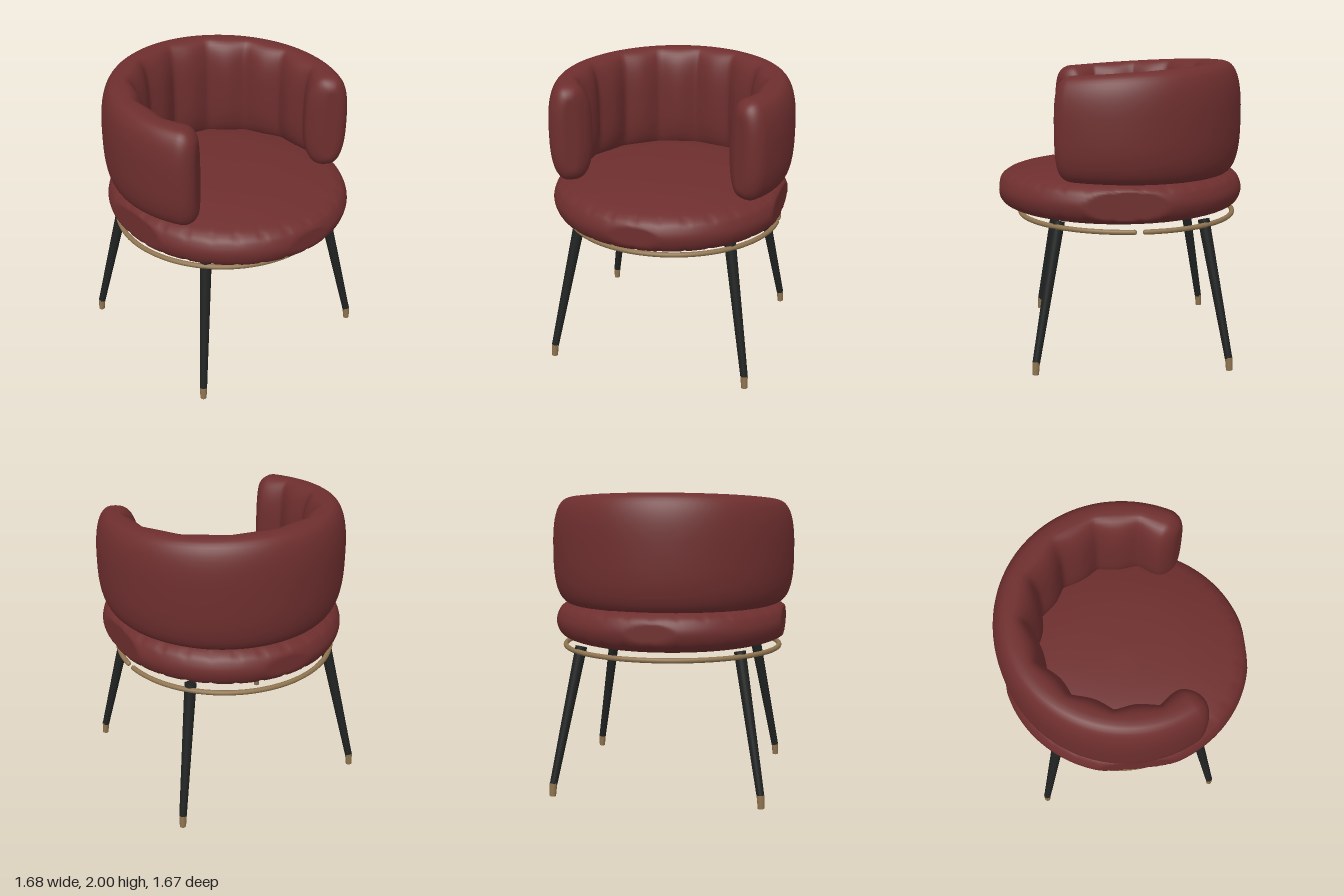
import * as THREE from 'three';
import { mergeVertices } from 'three/addons/utils/BufferGeometryUtils.js';

const mat = (name, color) => {
  const m = new THREE.MeshStandardMaterial({ color });
  m.name = name;
  return m;
};
const rad = THREE.MathUtils.degToRad;

// Seat: lathed cushion, slightly longer than wide, flattened sides, pleats on both rims
function seatGeometry() {
  const profile = new THREE.SplineCurve([
    [0, 0.935], [0.3, 0.945], [0.6, 0.98], [0.74, 1.005], [0.82, 1.045], [0.853, 1.12],
    [0.84, 1.185], [0.8, 1.235], [0.7, 1.272], [0.4, 1.322], [0, 1.34],
  ].map(([r, y]) => new THREE.Vector2(r, y)));
  const pts = profile.getPoints(50);
  pts.forEach((p) => { p.x = Math.max(p.x, 0); });
  const rows = pts.length;
  let geo = new THREE.LatheGeometry(pts, 180);
  const pos = geo.attributes.position;
  for (let i = 0; i < pos.count; i++) {
    const y = pos.getY(i);
    let x = pos.getX(i) * 0.96, z = pos.getZ(i);
    const column = Math.floor(i / rows);
    if (column % 6 === 0 && Math.hypot(x, z) > 0.6) {
      const w = Math.exp(-(((y - 1.24) / 0.025) ** 2)) + Math.exp(-(((y - 1.03) / 0.025) ** 2));
      x *= 1 - 0.016 * w;
      z *= 1 - 0.016 * w;
    }
    pos.setXYZ(i, THREE.MathUtils.clamp(x, -0.775, 0.775), y, THREE.MathUtils.clamp(z, -0.835, 0.835));
  }
  geo.deleteAttribute('normal');
  geo.deleteAttribute('uv');
  geo = mergeVertices(geo, 1e-4);
  geo.computeVertexNormals();
  return geo;
}

// Backrest: rounded section swept around an open circle, with padded ribs inside
function backrestGeometry() {
  const NA = 180, NS = 48, END = 126, ROUND = 0.1, ROUND_DEG = 8.2, MID = 0.7;
  const verts = [], index = [];
  const ring = (deg, closed) => {
    const a = rad(deg);
    const u = Math.min(1, Math.max(0, (Math.abs(deg) - END + ROUND_DEG) / ROUND_DEG));
    const inset = ROUND * (1 - Math.sqrt(1 - u * u));
    const zMid = -MID * Math.cos(a);
    const top = 1.956 - 0.064 * zMid, bottom = 1.257 + 0.02 * zMid;
    const inner = 0.108 + 0.046 * Math.abs(Math.sin((Math.PI * deg) / 26));
    for (let j = 0; j < NS; j++) {
      const t = (j / NS) * Math.PI * 2, c = Math.cos(t), s = Math.sin(t);
      const half = (c > 0 ? 0.138 : inner) - inset;
      const tall = (top - bottom) / 2 - inset;
      const k = closed ? 0 : 1;
      const r = MID + k * half * Math.sign(c) * Math.abs(c) ** (2 / 2.7);
      const y = (top + bottom) / 2 + k * tall * Math.sign(s) * Math.abs(s) ** (2 / 2.7);
      verts.push(r * Math.sin(a), y, -r * Math.cos(a));
    }
  };
  ring(-END, true);
  for (let i = 0; i <= NA; i++) ring(END * Math.sin((i / NA - 0.5) * Math.PI), false);
  ring(END, true);
  for (let i = 0; i < NA + 2; i++) {
    for (let j = 0; j < NS; j++) {
      const a = i * NS + j, b = i * NS + ((j + 1) % NS);
      index.push(a, b, a + NS, a + NS, b, b + NS);
    }
  }
  const geo = new THREE.BufferGeometry();
  geo.setAttribute('position', new THREE.Float32BufferAttribute(verts, 3));
  geo.setIndex(index);
  geo.computeVertexNormals();
  return geo;
}

// Tapered round bar between two points
function bar(name, from, to, r0, r1, material) {
  const dir = to.clone().sub(from);
  const mesh = new THREE.Mesh(new THREE.CylinderGeometry(r1, r0, dir.length(), 24), material);
  mesh.position.copy(from).add(to).multiplyScalar(0.5);
  mesh.quaternion.setFromUnitVectors(new THREE.Vector3(0, 1, 0), dir.normalize());
  mesh.name = name;
  return mesh;
}

export function createModel() {
  const fabric = mat('burgundy fabric', 0x6e2e2e);
  const black = mat('black legs', 0x202222);
  const brass = mat('brass', 0x8f7450);
  const group = new THREE.Group();
  group.name = 'chair';
  const add = (name, geo, material) => {
    const mesh = new THREE.Mesh(geo, material);
    mesh.name = name;
    group.add(mesh);
    return mesh;
  };

  add('seatCushion', seatGeometry(), fabric);
  add('backrest', backrestGeometry(), fabric);

  // Brass ring under the seat, with a small gap on the left side
  const CZ = -0.047, R = 0.748, gap = 0.047;
  const arc = Math.PI * 2 - gap * 2;
  const hoop = add('baseRing', new THREE.TorusGeometry(R, 0.017, 12, 120, arc), brass);
  hoop.rotation.set(Math.PI / 2, 0, gap + 0.05 - 0.1);
  hoop.position.set(0, 0.96, CZ);
  hoop.rotation.z = gap - 0.05;
  for (const a of [gap - 0.05, gap - 0.05 + arc]) {
    const cap = add('ringEnd', new THREE.SphereGeometry(0.017, 12, 8), brass);
    cap.position.set(R * Math.cos(a), 0.96, CZ + R * Math.sin(a));
  }

  // Four splayed legs with brass feet
  for (const sx of [1, -1]) {
    for (const sz of [1, -1]) {
      const leg = new THREE.Group();
      leg.name = (sz > 0 ? 'front' : 'back') + (sx > 0 ? 'Left' : 'Right') + 'Leg';
      const at = (x, y, z) => new THREE.Vector3(sx * x, y, CZ + sz * z);
      leg.add(bar('legShaft', at(0.69, 0.08, 0.634), at(0.53, 0.99, 0.475), 0.025, 0.039, black));
      leg.add(bar('foot', at(0.695, 0, 0.639), at(0.69, 0.088, 0.635), 0.021, 0.0255, brass));
      group.add(leg);
    }
  }
  return group;
}
